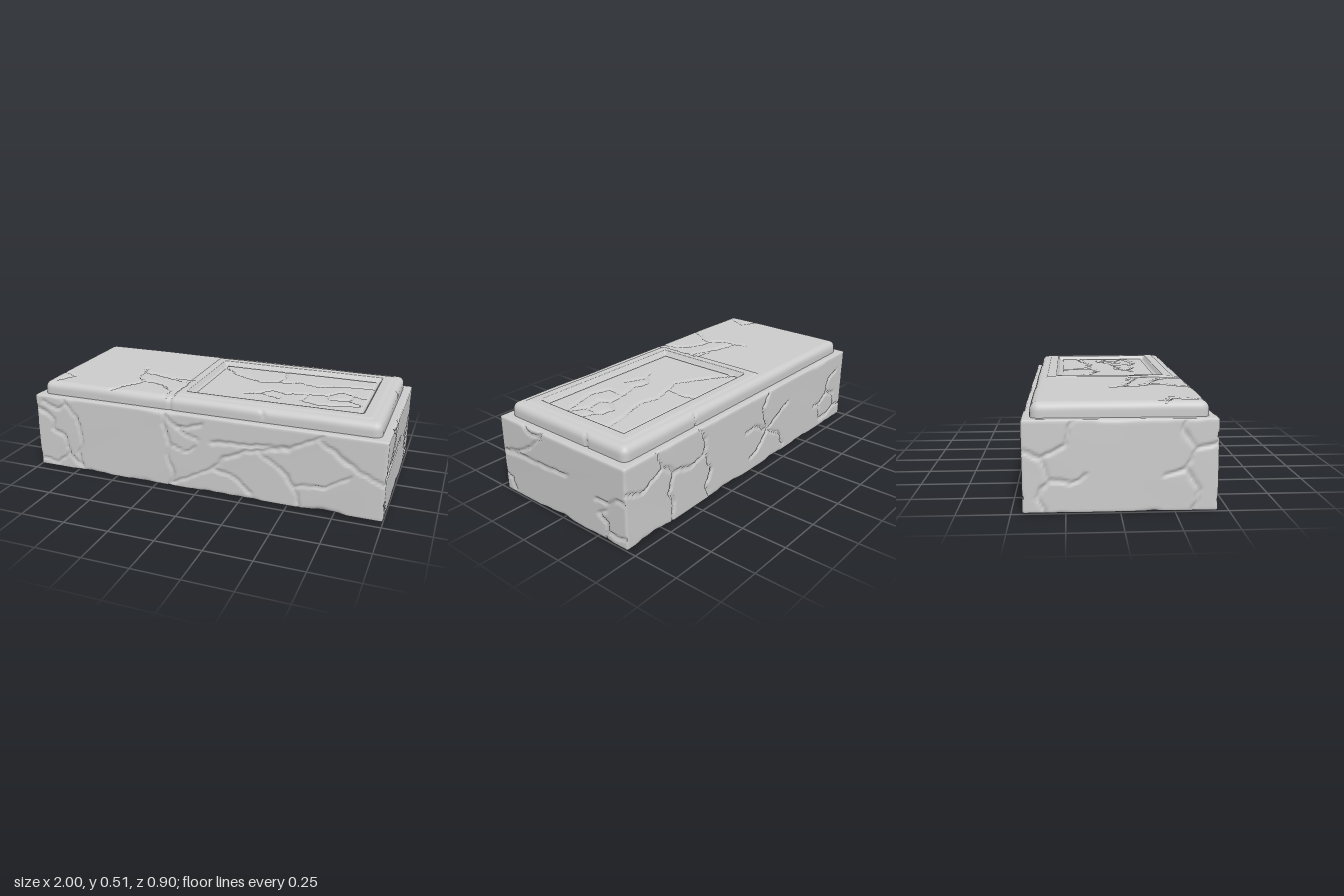
import * as THREE from 'three';
import { mergeVertices } from 'three/addons/utils/BufferGeometryUtils.js';

const STEP = 0.0106;

// Cracks as polylines in face coordinates: (x,y) front/back, (z,y) right/left, (x,z) top
const blockCracks = {
  front: [
    [-.19, .44, -.2, .36, -.16, .25, -.18, .17, -.14, .09, -.17, 0],
    [-.19, .42, -.09, .33, 0, .3], [-.13, .36, -.05, .36, .02, .39], [-.16, .25, -.06, .22, -.02, .26],
    [-.16, .02, .08, .14, .15, .22, .28, .28, .5, .32, .68, .42], [.08, .3, .28, .31, .5, .33],
    [.35, .28, .47, .2, .55, .08, .57, 0], [.66, .39, .85, .27, 1, .2],
    [.52, .12, .7, .14, .82, .22], [.08, .14, .2, .12, .3, .04],
    [-1, .36, -.88, .3, -.9, .24, -.82, .2, -.8, .1, -.72, .02], [-.95, .4, -.86, .36, -.8, .4],
    [-.82, .42, -.74, .33, -.72, .26, -.71, .18, -.74, .1, -.72, .02], [-.98, .05, -.88, .03, -.8, .1],
  ],
  back: [
    [.78, .44, .74, .34, .66, .28, .7, .18, .66, .1, .68, 0], [1, .3, .88, .26, .74, .34],
    [.66, .28, .54, .25, .42, .28], [.46, .44, .41, .36, .42, .28, .37, .16, .41, .08, .38, 0],
    [-.15, .2, -.02, .26, .06, .25], [-.15, .2, -.1, .34, -.16, .44], [-.15, .2, -.3, .28, -.36, .3],
    [-.15, .2, -.28, .12, -.32, .04], [-.15, .2, -.05, .1, .02, .08],
    [-.74, .05, -.72, .16, -.8, .21, -.89, .18, -.91, .09, -.83, .05, -.74, .05],
    [-.8, .21, -.83, .3, -.92, .33], [-.91, .09, -1, .07], [-.72, .16, -.66, .17],
  ],
  right: [
    [.45, .24, .35, .26, .22, .32, .16, .38, .12, .44], [.45, .23, .3, .25, .1, .25, -.05, .26],
    [-.25, .21, -.34, .21, -.38, .25, -.45, .25], [-.32, .05, -.4, .05, -.45, .06],
    [-.34, .21, -.32, .17, -.26, .13, -.32, .1, -.32, .05, -.3, 0],
    [.45, .1, .4, .08, .38, .02], [.26, .43, .2, .4, .14, .4],
  ],
  left: [
    [-.45, .3, -.36, .26, -.33, .16, -.38, .08, -.34, 0], [-.36, .26, -.25, .32, -.22, .43],
    [-.33, .16, -.22, .14, -.16, .18], [.45, .32, .34, .3, .3, .2, .36, .1, .33, 0],
    [.34, .3, .28, .38, .3, .44], [.3, .2, .2, .17],
  ],
};
const slabCracks = {
  top: [
    [-.5, .05, -.36, .08, -.2, .14], [-.42, .2, -.3, .22, -.22, .3, -.2, .4], [-.28, .09, -.16, .1],
    [-.51, -.02, -.48, .15, -.42, .2, -.46, .28, -.54, .4], [-.95, .2, -.85, .25, -.9, .35],
    [-.11, -.25, 0, -.16, .12, -.09, .2, -.05, .28, -.08, .3, -.17, .28, -.26],
    [.28, -.08, .42, -.12, .5, -.09, .6, -.11, .68, -.14, .82, -.16],
    [.17, .16, .24, .12, .3, .06, .38, .09, .5, .05, .6, .04, .66, -.04, .8, .02],
    [.24, .12, .36, .17], [.6, .04, .62, .1, .72, .08, .8, .12], [.5, .05, .48, .16, .6, .2, .8, .14],
    [.66, -.04, .74, -.02, .72, .08], [-.17, .41, -.175, .3, -.17, .12],
  ],
  front: [[-.19, .51, -.17, .47, -.18, .42], [.33, .5, .36, .45]],
  right: [[-.14, .51, -.16, .47, -.15, .42]],
  back: [[.46, .51, .44, .46, .46, .42]],
};

// Smooth wavy noise in about -1..1
const noise = (x, y, z, f) =>
  (Math.sin(f * (x + .6 * z) + 1.3) + Math.sin(f * (1.7 * y - .8 * x) + f * .4 * z) +
   Math.sin(f * (1.3 * z + .5 * y) + 2.1 * Math.sin(f * .7 * x))) / 3;

// Distance from a point to the nearest crack
function crackDistance(lines, u, v) {
  let best = 1;
  for (const l of lines) for (let i = 0; i + 3 < l.length; i += 2) {
    const dx = l[i + 2] - l[i], dy = l[i + 3] - l[i + 1];
    const t = THREE.MathUtils.clamp(((u - l[i]) * dx + (v - l[i + 1]) * dy) / (dx * dx + dy * dy), 0, 1);
    best = Math.min(best, Math.hypot(u - l[i] - t * dx, v - l[i + 1] - t * dy));
  }
  return best;
}

// Evenly spaced grid lines plus extra ones at moulding edges
function gridLines(a, b, extras = []) {
  const n = Math.round((b - a) / STEP), lines = [...extras];
  for (let i = 0; i <= n; i++) {
    const x = a + (b - a) * i / n;
    if (extras.every(e => Math.abs(e - x) > .004)) lines.push(x);
  }
  return lines.sort((p, q) => p - q);
}

// Dense box with rounded, worn edges and cracks cut into its faces
function wornBox({ x, y, z, radius, cracks, depth, hidden, height }) {
  const axes = [x, y, z], n = axes.map(a => a.length - 1);
  let geo = new THREE.BoxGeometry(...n, ...n);
  geo.deleteAttribute('normal');
  geo.deleteAttribute('uv');
  geo.clearGroups();
  geo = mergeVertices(geo);
  const pos = geo.attributes.position, flat = [];
  const p = new THREE.Vector3(), c = new THREE.Vector3(), d = new THREE.Vector3();
  const lo = axes.map(a => a[0]), hi = axes.map(a => a[a.length - 1]);
  for (let i = 0; i < pos.count; i++) {
    p.fromArray([0, 1, 2].map(k => axes[k][Math.round(pos.getComponent(i, k) + n[k] / 2)]));
    flat.push(p.clone());
    const r = radius(p);
    c.fromArray([0, 1, 2].map(k => THREE.MathUtils.clamp(p.getComponent(k), lo[k] + r, hi[k] - r)));
    d.subVectors(p, c).normalize();
    p.copy(c).addScaledVector(d, r);
    if (height && d.y > .9) p.y += height(p.x, p.z);
    // shallow surface waves, always inward
    p.addScaledVector(d, -.0012 * (1 + noise(p.x, p.y, p.z, 9)));
    const face = d.z > .7 ? 'front' : d.z < -.7 ? 'back' : d.x > .7 ? 'right' : d.x < -.7 ? 'left' : d.y > .7 ? 'top' : '';
    if (cracks[face]) {
      const side = face === 'right' || face === 'left';
      const u = (side ? p.z : p.x) + .007 * noise(p.x, p.y, p.z, 60);
      const v = (face === 'top' ? p.z : p.y) + .007 * noise(p.z, p.x, p.y, 53);
      const w = .011 + .004 * noise(p.x, p.y, p.z, 17);
      const t = Math.max(0, 1 - crackDistance(cracks[face], u, v) / w);
      p.addScaledVector(d, -depth * t);
    }
    pos.setXYZ(i, p.x, p.y, p.z);
  }
  // leave out faces buried between the two stones
  const kept = [], idx = geo.index.array;
  for (let i = 0; i < idx.length; i += 3) {
    const tri = [idx[i], idx[i + 1], idx[i + 2]];
    if (!tri.every(j => hidden(flat[j]))) kept.push(...tri);
  }
  geo.setIndex(kept);
  geo.computeVertexNormals();
  return geo;
}

// Panel moulding: [inset from the rim, height change]
const moulding = [[0, 0], [.006, .005], [.056, .005], [.064, -.013], [.074, -.022], [.084, -.022], [.09, -.015], [.1, -.015]];
const rim = { x0: -.175, x1: .9, z: .355 };
function panelHeight(x, z) {
  const inset = Math.min(x - rim.x0, rim.x1 - x, rim.z - Math.abs(z));
  if (inset <= 0) return 0;
  for (let i = 1; i < moulding.length; i++) {
    const [a, ha] = moulding[i - 1], [b, hb] = moulding[i];
    if (inset <= b) return ha + (hb - ha) * (inset - a) / (b - a);
  }
  return moulding[moulding.length - 1][1];
}

export function createModel() {
  const group = new THREE.Group();
  const stone = new THREE.MeshStandardMaterial({ color: 0xcccccc });
  const add = (name, geo) => {
    const mesh = new THREE.Mesh(geo, stone);
    mesh.name = name;
    group.add(mesh);
  };

  // Main block, with chips along the edges, deeper near the bottom
  add('stoneBlock', wornBox({
    x: gridLines(-1, 1), y: gridLines(0, .436), z: gridLines(-.45, .45),
    radius: p => .01 + (p.y < .2 ? .028 : .014) * Math.max(0, noise(p.x, p.y, p.z, 13) + .3 * noise(p.z, p.x, p.y, 41)),
    cracks: blockCracks, depth: .013,
    hidden: p => p.y > .43 && Math.abs(p.x) < .91 && Math.abs(p.z) < .37,
  }));

  // Rounded lid with the recessed panel
  const insets = moulding.map(m => m[0]);
  add('lidSlab', wornBox({
    x: gridLines(-.96, .955, insets.flatMap(i => [rim.x0 + i, rim.x1 - i])),
    y: gridLines(.39, .508),
    z: gridLines(-.411, .411, insets.flatMap(i => [i - rim.z, rim.z - i])),
    radius: p => .04 + .004 * noise(p.x, p.y, p.z, 11),
    cracks: slabCracks, depth: .009, height: panelHeight,
    hidden: p => p.y < .41,
  }));
  return group;
}
